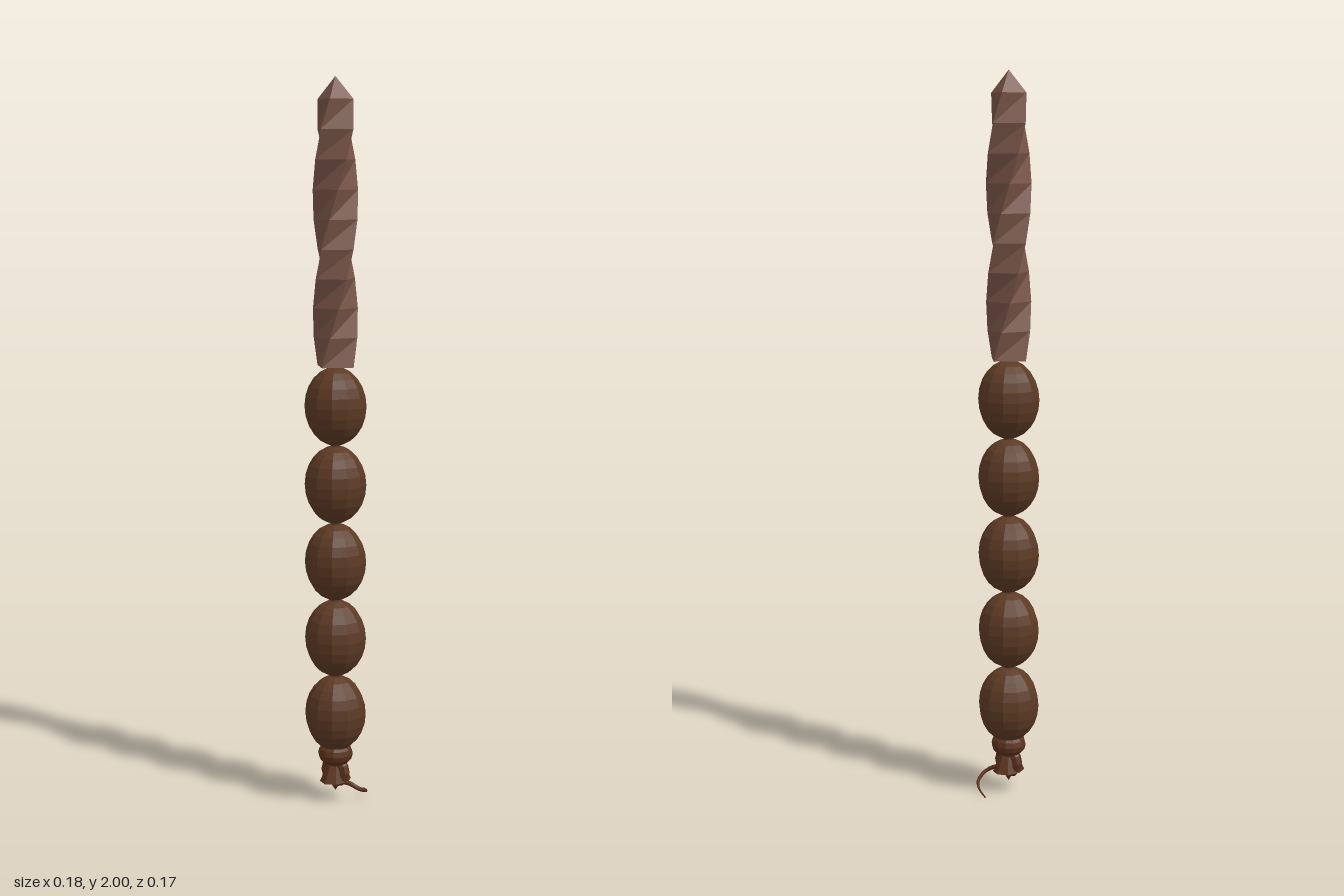
import * as THREE from 'three';

const AXIS = -0.007; // the shaft sits slightly off centre because the tail sticks out

// Split the faces so each one is shaded flat
function faceted(geometry) {
  const g = geometry.index ? geometry.toNonIndexed() : geometry;
  g.computeVertexNormals();
  return g;
}

// Square bar twisted about y, closed below and pointed above
function twistedBlade(y0, y1, tipY, radius, topRadius, twist, rings) {
  const pos = [], idx = [];
  for (let i = 0; i <= rings; i++) {
    const t = i / rings;
    const r = i === rings ? topRadius : radius;
    for (let k = 0; k < 4; k++) {
      const a = t * twist + k * Math.PI / 2;
      pos.push(r * Math.sin(a), y0 + (y1 - y0) * t, r * Math.cos(a));
    }
  }
  const base = pos.length / 3, tip = base + 1;
  pos.push(0, y0, 0, 0, tipY, 0);
  for (let k = 0; k < 4; k++) {
    const n = (k + 1) % 4;
    for (let i = 0; i < rings; i++) {
      const a = i * 4 + k, b = i * 4 + n, c = a + 4, d = b + 4;
      idx.push(a, b, d, a, d, c);
    }
    idx.push(base, n, k, rings * 4 + k, rings * 4 + n, tip);
  }
  const g = new THREE.BufferGeometry();
  g.setAttribute('position', new THREE.Float32BufferAttribute(pos, 3));
  g.setIndex(idx);
  return faceted(g);
}

// Tube that thins towards its far end
function taperedTube(points, r0, r1, steps, sides) {
  const curve = new THREE.CatmullRomCurve3(points.map(p => new THREE.Vector3(...p)));
  const g = new THREE.TubeGeometry(curve, steps, 1, sides);
  const p = g.attributes.position, v = new THREE.Vector3();
  for (let i = 0; i < p.count; i++) {
    const t = Math.floor(i / (sides + 1)) / steps;
    const c = curve.getPointAt(t);
    v.fromBufferAttribute(p, i).sub(c).multiplyScalar(r0 + (r1 - r0) * t).add(c);
    p.setXYZ(i, v.x, v.y, v.z);
  }
  g.computeVertexNormals();
  return g;
}

export function createModel() {
  const model = new THREE.Group();
  const bladeBrown = new THREE.MeshStandardMaterial({ color: 0x795548 });
  bladeBrown.name = 'light brown';
  const beadBrown = new THREE.MeshStandardMaterial({ color: 0x5c3a24 });
  beadBrown.name = 'dark brown';
  const knotBrown = new THREE.MeshStandardMaterial({ color: 0x5a321c });
  knotBrown.name = 'reddish brown';

  const add = (name, geometry, material, y = 0, x = AXIS) => {
    const m = new THREE.Mesh(geometry, material);
    m.name = name;
    m.position.set(x, y, 0);
    model.add(m);
    return m;
  };

  // Twisted shaft with pyramid point
  add('twistedBlade', twistedBlade(1.23, 1.94, 2, 0.061, 0.05, 200 * Math.PI / 180, 9), bladeBrown);

  // Grip of stacked egg-shaped beads on a thin core
  const bead = faceted(new THREE.SphereGeometry(0.085, 12, 12).scale(1, 0.108 / 0.085, 1));
  for (let i = 0; i < 5; i++) add('gripBead' + (i + 1), bead, beadBrown, 0.257 + i * 0.216);
  add('gripCore', new THREE.CylinderGeometry(0.014, 0.014, 1.08, 8), beadBrown, 0.69);

  // Pommel: collar, loop, flared skirt and small point
  add('pommelCollar', faceted(new THREE.SphereGeometry(0.049, 12, 8).scale(1, 0.75, 1)), knotBrown, 0.14);
  add('pommelLoop', faceted(new THREE.TorusGeometry(0.031, 0.015, 8, 12).rotateY(Math.PI / 2)), knotBrown, 0.088);
  add('pommelSkirt', faceted(new THREE.CylinderGeometry(0.026, 0.05, 0.045, 8).scale(1, 1, 0.8)), knotBrown, 0.084);
  add('pommelPoint', faceted(new THREE.ConeGeometry(0.022, 0.035, 8).rotateX(Math.PI)), knotBrown, 0.048);

  // Curling cord tail
  add('cordTail', taperedTube([
    [-0.007, 0.058, 0], [-0.006, 0.06, 0.045], [0.008, 0.045, 0.072],
    [0.045, 0.028, 0.068], [0.075, 0.018, 0.038], [0.091, 0.006, 0],
  ], 0.008, 0.002, 18, 6), knotBrown, 0, 0);

  return model;
}
